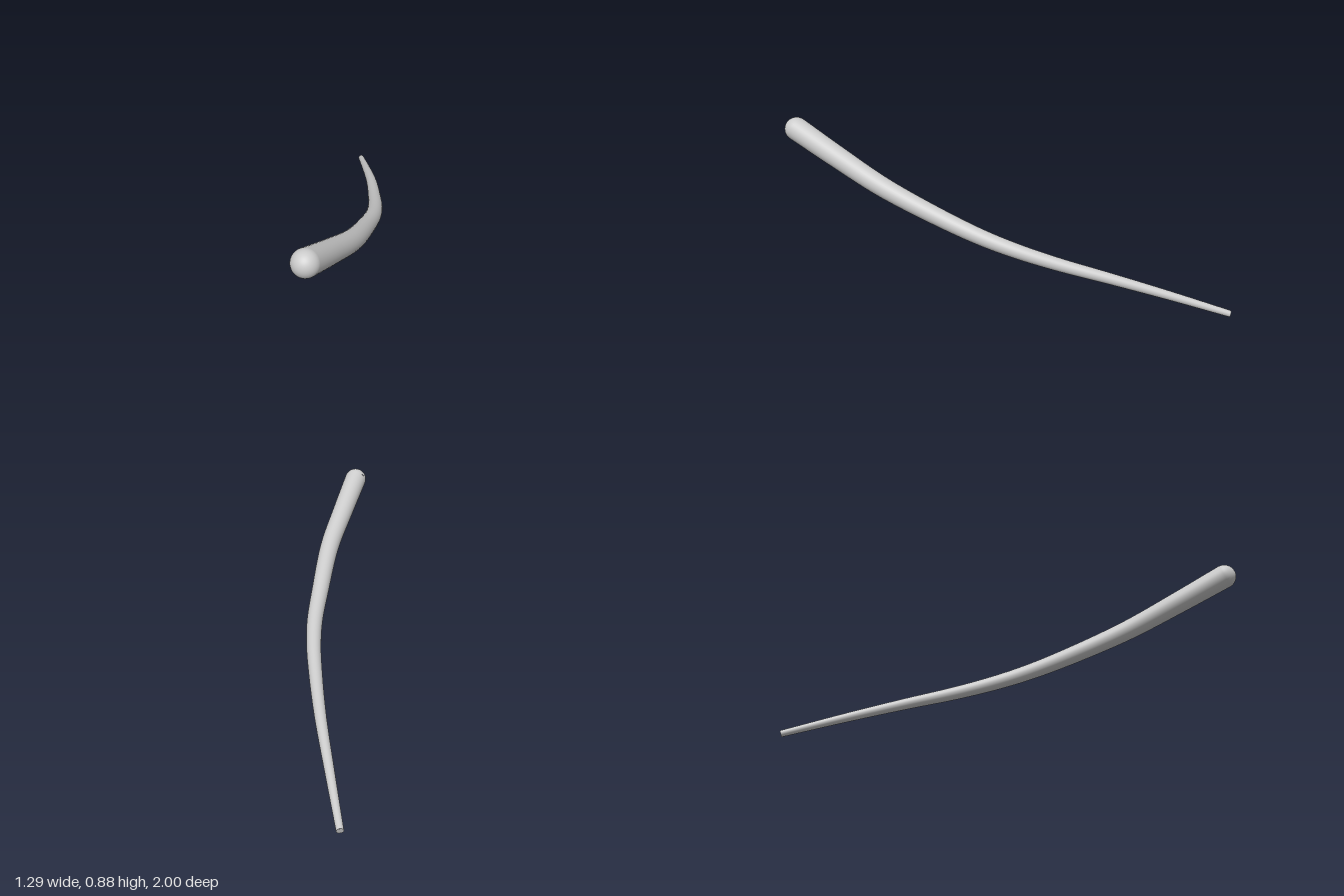
import * as THREE from 'three';

const R0 = 0.062, R1 = 0.017, RINGS = 96, SIDES = 32;

export function createModel() {
  const group = new THREE.Group();
  group.name = 'taperedRod';
  const material = new THREE.MeshStandardMaterial({ color: 0xcccccc });
  const add = (geometry, name) => {
    const mesh = new THREE.Mesh(geometry, material);
    mesh.name = name;
    group.add(mesh);
    return mesh;
  };

  // Centre line from the thick raised end to the thin low end
  const curve = new THREE.CatmullRomCurve3([
    [-0.582, 0.822, 0.937], [-0.4, 0.712, 0.767], [-0.2, 0.592, 0.572],
    [0, 0.464, 0.32], [0.125, 0.39, 0.15], [0.213, 0.334, 0],
    [0.3, 0.275, -0.18], [0.41, 0.203, -0.43], [0.515, 0.117, -0.7], [0.626, 0.017, -0.994],
  ].map((p) => new THREE.Vector3(...p)));

  // Shaft: a tube whose rings shrink evenly along its length
  const tube = new THREE.TubeGeometry(curve, RINGS, 1, SIDES, false);
  const pos = tube.attributes.position;
  const v = new THREE.Vector3();
  for (let i = 0; i <= RINGS; i++) {
    const centre = curve.getPointAt(i / RINGS);
    const radius = THREE.MathUtils.lerp(R0, R1, i / RINGS);
    for (let j = 0; j <= SIDES; j++) {
      const k = i * (SIDES + 1) + j;
      v.fromBufferAttribute(pos, k).sub(centre).multiplyScalar(radius).add(centre);
      pos.setXYZ(k, v.x, v.y, v.z);
    }
  }
  add(tube, 'shaft');

  // Rounded thick end
  const dome = add(new THREE.SphereGeometry(R0, SIDES, 16, 0, Math.PI * 2, 0, Math.PI / 2), 'roundedEnd');
  dome.position.copy(curve.getPointAt(0));
  dome.quaternion.setFromUnitVectors(new THREE.Vector3(0, 1, 0), curve.getTangentAt(0).negate());

  // Flat thin end
  const cap = add(new THREE.CircleGeometry(R1, SIDES), 'tipCap');
  cap.position.copy(curve.getPointAt(1));
  cap.quaternion.setFromUnitVectors(new THREE.Vector3(0, 0, 1), curve.getTangentAt(1));

  return group;
}
